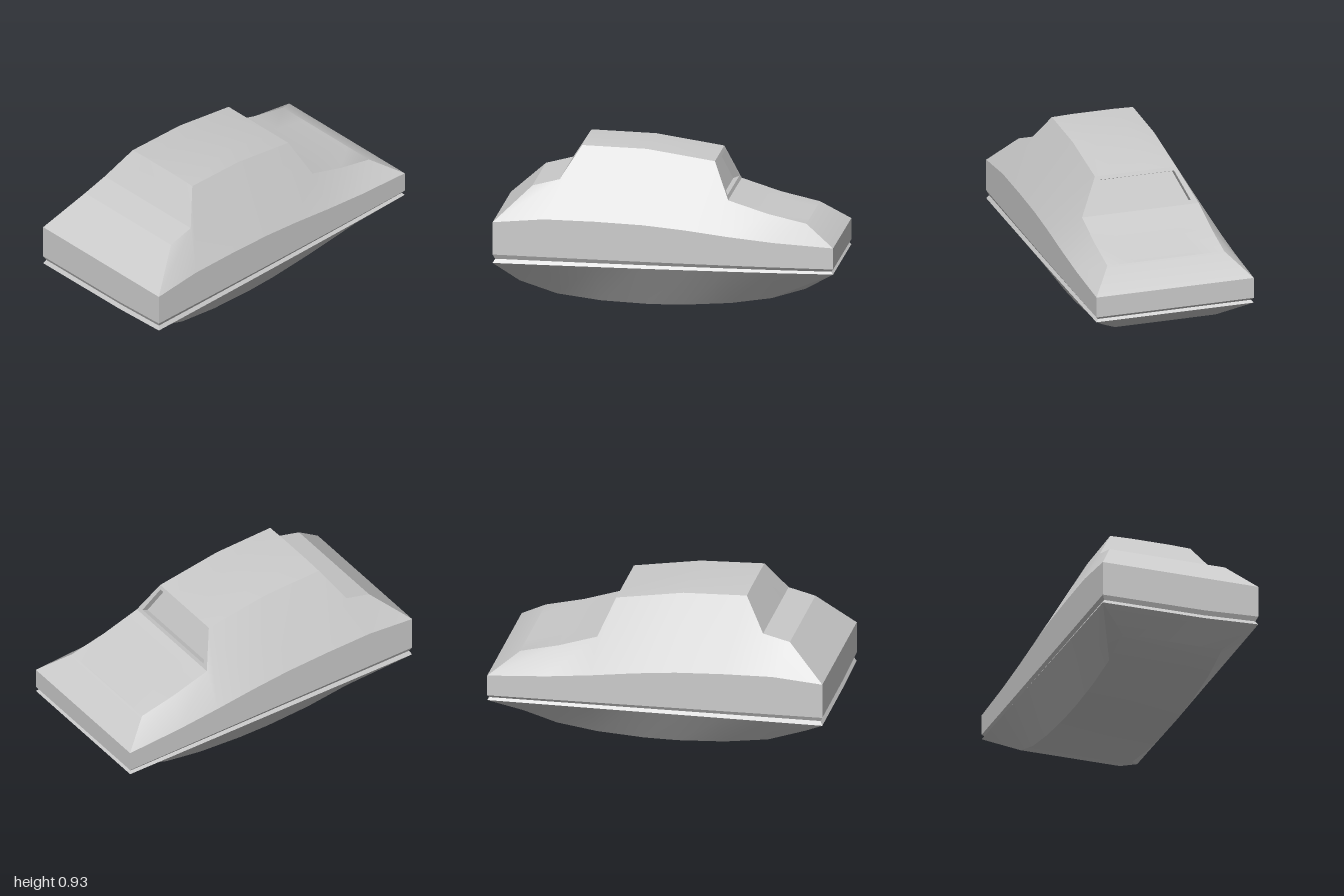
import * as THREE from 'three';
import { toCreasedNormals } from 'three/addons/utils/BufferGeometryUtils.js';

const HALF = 0.485;

// Builds a named mesh from counter-clockwise quads [a, b, c, d]
function quadMesh(name, quads) {
  const pos = [];
  for (const [a, b, c, d] of quads) {
    for (const p of [a, b, c, a, c, d]) pos.push(...p);
  }
  const geometry = new THREE.BufferGeometry();
  geometry.setAttribute('position', new THREE.Float32BufferAttribute(pos, 3));
  const material = new THREE.MeshStandardMaterial({ color: 0xcccccc, side: THREE.DoubleSide });
  const mesh = new THREE.Mesh(toCreasedNormals(geometry, 0.45), material);
  mesh.name = name;
  return mesh;
}

// Closed ring: +x side front to back, -x side back to front, then a point on the front edge.
// profile holds [half width, y, z]; height(x, z, y) may adjust y.
function ring(profile, height = (x, z, y) => y) {
  const right = profile.map(([x, y, z]) => [x, height(x, z, y), z]);
  const left = profile.map(([x, y, z]) => [-x, height(-x, z, y), z]).reverse();
  const [w, y, z] = profile[0];
  const mid = w * 0.31;
  return [...right, ...left, [mid, height(mid, z, y), z]];
}

// Quads between two rings, lower one first
function loft(low, high) {
  return low.map((p, i) => {
    const j = (i + 1) % low.length;
    return [p, low[j], high[j], high[i]];
  });
}

const mirror = ([x, y, z]) => [-x, y, z];
const lerp = (a, b, t) => a.map((v, i) => v + (b[i] - v) * t);

export function createModel() {
  const group = new THREE.Group();

  // Rows of eight stations, front to back
  const keel = [
    [0.31, 0.125, 0.86], [0.31, 0.052, 0.64], [0.31, 0.016, 0.38], [0.31, 0, 0.1],
    [0.31, 0, -0.1], [0.31, 0.016, -0.38], [0.31, 0.05, -0.62], [0.31, 0.11, -0.82],
  ];
  const shoulder = [
    [HALF, 0.5, 1], [HALF, 0.523, 0.7], [HALF, 0.515, 0.4], [HALF, 0.5, 0.12],
    [HALF, 0.475, -0.12], [HALF, 0.44, -0.38], [HALF, 0.41, -0.65], [HALF, 0.385, -1],
  ];
  const edge = [
    [0.36, 0.7, 0.78], [0.36, 0.74, 0.62], [0.25, 0.925, 0.5], [0.25, 0.91, 0.12],
    [0.25, 0.845, -0.28], [0.36, 0.635, -0.37], [0.36, 0.56, -0.6], [0.36, 0.505, -0.83],
  ];

  // Groove heights: rising to the front, a little more on the +x side
  const grooveTop = (x, z) => {
    const t = (z + 1) / 2;
    const u = THREE.MathUtils.clamp((x + HALF) / (2 * HALF), 0, 1) ** 4;
    return 0.26 + THREE.MathUtils.lerp(0.03 * t, 0.048 * t ** 1.3, u);
  };
  const grooveRing = (inset, drop) => ring(
    shoulder.map(([x, y, z]) => [x - inset, y, Math.abs(z) === 1 ? z * (1 - inset) : z]),
    (x, z) => grooveTop(x, z) - drop * (0.6 + 0.2 * (z + 1)),
  );
  const top = grooveRing(0, 0);
  const middle = grooveRing(0.013, 0.026);
  const bottom = grooveRing(0, 0.05);

  // Hull with flat, rockered bottom
  const hull = loft(ring(keel), bottom);
  for (let i = 0; i < 7; i++) {
    hull.push([mirror(keel[i]), mirror(keel[i + 1]), keel[i + 1], keel[i]]);
  }
  group.add(quadMesh('hull', hull));

  // V-shaped groove around the waist
  group.add(quadMesh('waistGroove', [...loft(bottom, middle), ...loft(middle, top)]));

  // Vertical lower body, sloping sides, bonnet front and tail
  const body = [...loft(top, ring(shoulder)), ...loft(ring(shoulder), ring(edge))];

  // Bonnet, windscreen, slightly crowned roof and rear deck
  const crown = [0, 0, 0.004, 0.006, 0, 0, 0, 0];
  const row = (i) => [1, 0.5, -0.5, -1].map((s) => {
    const [x, y, z] = edge[i];
    return [x * s, y + (Math.abs(s) < 1 ? crown[i] : 0), z];
  });
  for (let i = 0; i < 7; i++) {
    if (i === 4) continue;
    const a = row(i), b = row(i + 1);
    for (let k = 0; k < 3; k++) body.push([a[k], b[k], b[k + 1], a[k + 1]]);
  }
  group.add(quadMesh('body', body));

  // Rear window: frame, reveal and recessed pane
  const outer = [edge[4], edge[5], mirror(edge[5]), mirror(edge[4])];
  const at = (s, v) => {
    const [x, y, z] = lerp(edge[4], edge[5], v);
    return [x * s, y, z];
  };
  const opening = [at(0.9, 0.1), at(0.9, 0.9), at(-0.9, 0.9), at(-0.9, 0.1)];
  const recess = opening.map(([x, y, z]) => [x, y - 0.016, z + 0.036]);
  group.add(quadMesh('rearWindowFrame', [...loft(outer, opening), ...loft(opening, recess)]));
  group.add(quadMesh('rearWindowPane', [recess]));

  return group;
}
